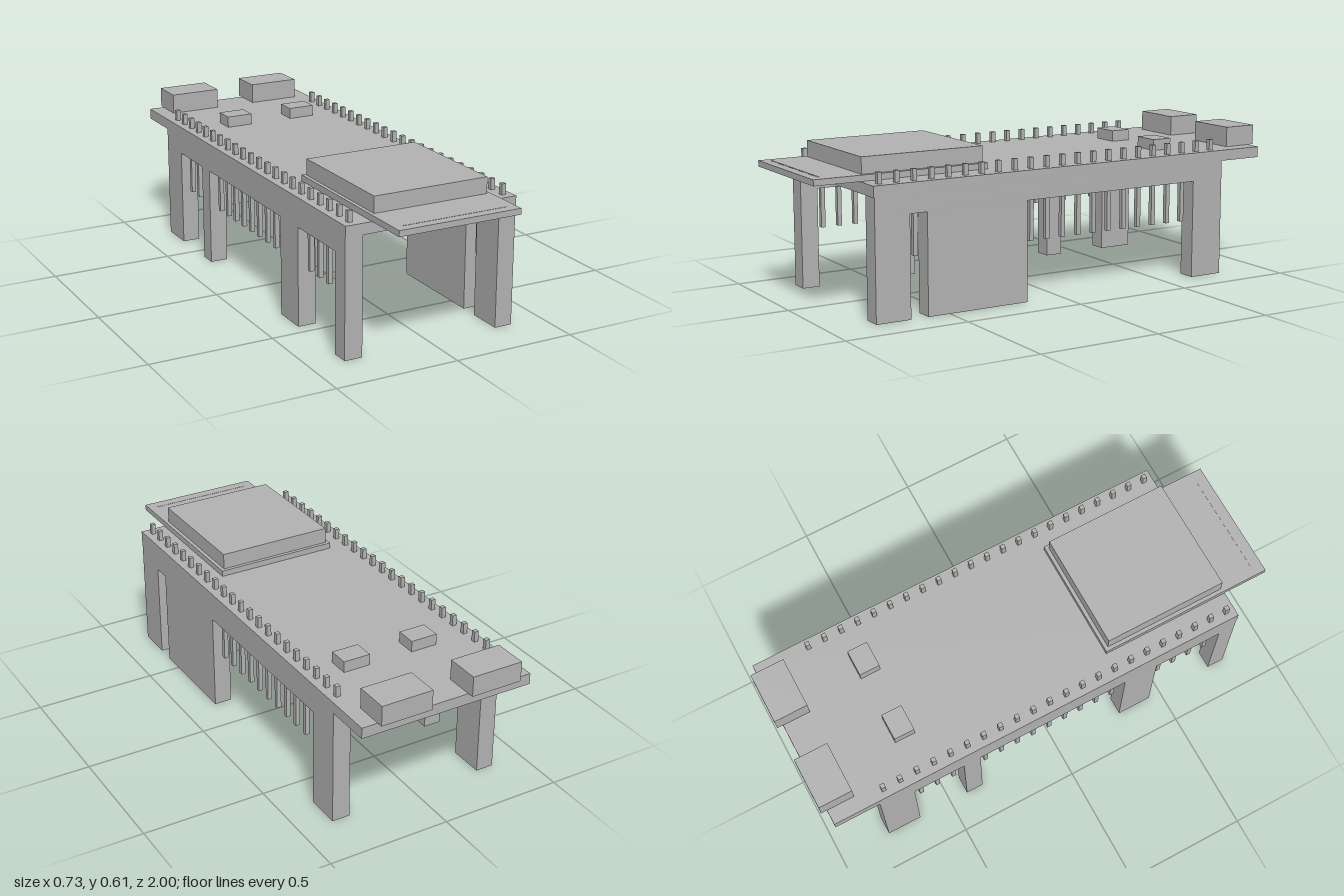
import * as THREE from 'three';

export function createModel() {
  const model = new THREE.Group();
  model.name = 'circuitBoard';
  const grey = new THREE.MeshStandardMaterial({ color: 0xb2b2b2 });
  grey.name = 'grey';

  // Adds a box given its extents along each axis
  function box(name, [x0, x1], [y0, y1], [z0, z1]) {
    const mesh = new THREE.Mesh(new THREE.BoxGeometry(x1 - x0, y1 - y0, z1 - z0), grey);
    mesh.position.set((x0 + x1) / 2, (y0 + y1) / 2, (z0 + z1) / 2);
    mesh.name = name;
    model.add(mesh);
  }

  const boardBottom = 0.474, boardTop = 0.518, headerBottom = 0.401;
  const pitch = 0.0725, pinCount = 22, firstPin = 0.774;
  const pinZ = (i) => firstPin - i * pitch;

  // Board
  box('board', [-0.363, 0.363], [boardBottom, boardTop], [-0.975, 0.813]);

  // Radio module, its shield can and the antenna strip
  box('modulePlate', [-0.255, 0.255], [boardTop, 0.542], [0.27, 1]);
  box('shieldCan', [-0.24, 0.24], [0.542, 0.607], [0.285, 0.8]);
  box('antennaStrip', [-0.215, 0.215], [0.542, 0.543], [0.955, 0.963]);

  // Connectors on the back edge and push buttons
  box('rightConnector', [-0.3, -0.087], [boardTop, 0.6], [-1, -0.86]);
  box('leftConnector', [0.085, 0.298], [boardTop, 0.6], [-1, -0.86]);
  box('rightButton', [-0.185, -0.074], [boardTop, 0.563], [-0.625, -0.54]);
  box('leftButton', [0.111, 0.222], [boardTop, 0.563], [-0.625, -0.54]);

  // Sockets under the headers: [first pin, last pin] for each side
  const sockets = {
    left: [[0, 1], [3, 8], [20, 21]],
    right: [[0, 0], [5, 6], [16, 16], [20, 21]],
  };

  for (const [side, s] of [['left', 1], ['right', -1]]) {
    const xs = s > 0 ? [0.29, 0.363] : [-0.363, -0.29];
    const pinX = s * 0.327;
    box(side + 'Header', xs, [headerBottom, boardBottom], [pinZ(pinCount - 1) - pitch / 2, pinZ(0) + pitch / 2]);
    for (const [a, b] of sockets[side]) {
      box(side + 'Socket', xs, [0, headerBottom], [pinZ(b) - pitch / 2, pinZ(a) + pitch / 2]);
    }
    // Pins: short ends above the board, long ends below unless inside a socket
    for (let i = 0; i < pinCount; i++) {
      const px = [pinX - 0.009, pinX + 0.009], pz = [pinZ(i) - 0.009, pinZ(i) + 0.009];
      box(side + 'PinTop', px, [boardTop, 0.562], pz);
      if (!sockets[side].some(([a, b]) => i >= a && i <= b)) {
        box(side + 'PinBottom', px, [0.234, headerBottom], pz);
      }
    }
  }
  return model;
}
